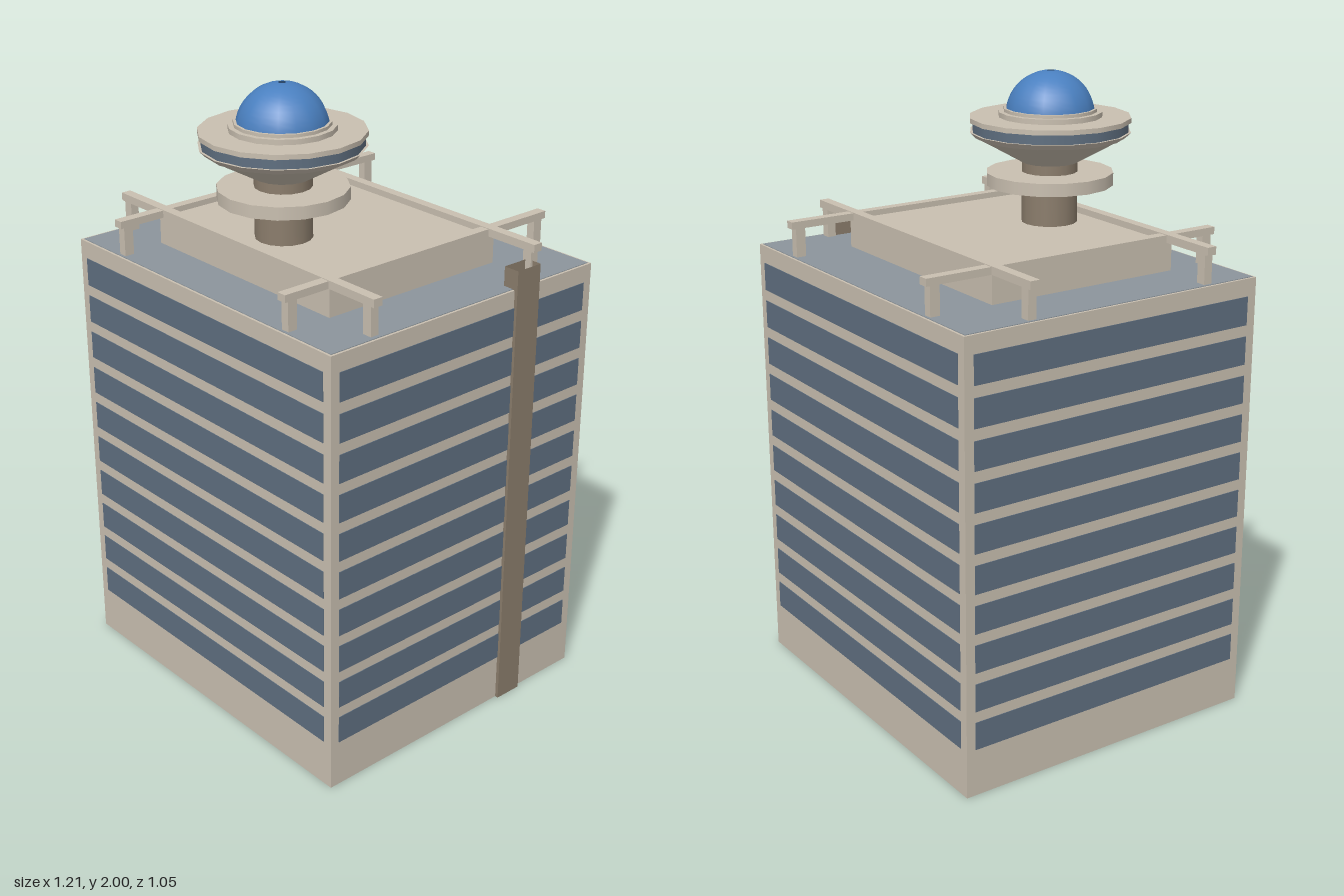
import * as THREE from 'three';

const mat = (name, color, side = THREE.FrontSide) => {
  const m = new THREE.MeshStandardMaterial({ color, side });
  m.name = name;
  return m;
};

export function createModel() {
  const model = new THREE.Group();
  const stone = mat('stone', 0xc9bfb0, THREE.DoubleSide);
  const glass = mat('windowGlass', 0x5f6f80);
  const slate = mat('roofSlate', 0x8c959c);
  const brown = mat('brownCladding', 0x8b7d6c, THREE.DoubleSide);
  const blue = mat('domeBlue', 0x4a80c0, THREE.DoubleSide);

  const add = (parent, name, geo, material, x = 0, y = 0, z = 0) => {
    const mesh = new THREE.Mesh(geo, material);
    mesh.name = name;
    mesh.position.set(x, y, z);
    parent.add(mesh);
    return mesh;
  };
  // Box given by its limits; faces listed in skip are left open (0..5 = +x -x +y -y +z -z)
  const box = (parent, name, material, [x0, x1], [y0, y1], [z0, z1], skip = []) => {
    const geo = new THREE.BoxGeometry(x1 - x0, y1 - y0, z1 - z0);
    if (skip.length) {
      const index = Array.from(geo.index.array);
      geo.setIndex(index.filter((_, i) => !skip.includes(Math.floor(i / 6))));
      geo.clearGroups();
    }
    return add(parent, name, geo, material, (x0 + x1) / 2, (y0 + y1) / 2, (z0 + z1) / 2);
  };
  const group = (name) => {
    const g = new THREE.Group();
    g.name = name;
    model.add(g);
    return g;
  };

  // Main block, a shell open underneath, with an inset roof surface
  const X = [-0.603, 0.593], Z = [-0.525, 0.525], H = 1.43;
  box(model, 'walls', stone, X, [0, H], Z, [3]);
  box(model, 'roof', slate, [X[0] + 0.008, X[1] - 0.008], [H, H + 0.002],
    [Z[0] + 0.008, Z[1] - 0.008], [3]);

  // Ten window bands on all four sides
  const windows = group('windowBands');
  const inset = 0.031, t = 0.002;
  for (let i = 0; i < 10; i++) {
    const y = 0.154 + i * 0.1256;
    const span = [y, y + 0.09];
    const wx = [X[0] + inset, X[1] - inset], wz = [Z[0] + inset, Z[1] - inset];
    box(windows, 'frontWindow', glass, wx, span, [Z[1], Z[1] + t]);
    box(windows, 'backWindow', glass, wx, span, [Z[0] - t, Z[0]]);
    box(windows, 'leftWindow', glass, [X[1], X[1] + t], span, wz);
    box(windows, 'rightWindow', glass, [X[0] - t, X[0]], span, wz);
  }

  // Vertical duct on the +x side, open at both ends
  box(model, 'duct', brown, [0.55, 0.604], [0, 1.493], [-0.283, -0.188], [2, 3]);

  // Penthouse with crossing beams carried on posts
  box(model, 'penthouse', stone, [-0.405, 0.395], [H, 1.528], [-0.3, 0.357], [3]);
  const frame = group('roofFrame');
  const around = (c, r) => [c - r, c + r];
  const beamX = [-0.395, 0.383], beamZ = [-0.289, 0.347];
  const postX = [-0.571, 0.556], postZ = [-0.493, 0.493];
  const beamY = [1.523, 1.548], postY = [H, 1.523];
  for (const z of beamZ) {
    box(frame, 'crossBeam', stone, [-0.6, 0.585], beamY, around(z, 0.016));
    for (const x of postX) box(frame, 'post', stone, around(x, 0.016), postY, around(z, 0.014));
  }
  for (const x of beamX) {
    box(frame, 'longBeam', stone, around(x, 0.016), [1.523, 1.546], [-0.523, 0.521]);
    for (const z of postZ) box(frame, 'post', stone, around(x, 0.014), postY, around(z, 0.016));
  }

  // Observation tower
  const tower = group('tower');
  tower.position.set(0.002, 0, 0.195);
  const ring = (name, material, rTop, rBottom, y0, y1, open = false) =>
    add(tower, name, new THREE.CylinderGeometry(rTop, rBottom, y1 - y0, 16, 1, open),
      material, 0, (y0 + y1) / 2, 0);
  ring('stem', brown, 0.088, 0.088, 1.52, 1.73);
  ring('collar', stone, 0.2, 0.2, 1.648, 1.688);
  ring('dishUnderside', stone, 0.235, 0.088, 1.718, 1.8, true);
  ring('dishSill', stone, 0.252, 0.235, 1.798, 1.815);
  ring('dishWindows', glass, 0.244, 0.244, 1.815, 1.845, true);
  ring('dishRoof', stone, 0.252, 0.252, 1.845, 1.86);
  ring('domeStep', stone, 0.162, 0.162, 1.86, 1.876);
  ring('domeCurb', stone, 0.146, 0.146, 1.876, 1.886);

  // Dome with a small opening at the crown
  const dome = new THREE.SphereGeometry(0.14, 16, 12, 0, Math.PI * 2, 0.085, Math.PI / 2 - 0.085);
  dome.rotateY(Math.PI / 2);
  add(tower, 'dome', dome, blue, 0, 1.86, 0);

  return model;
}
